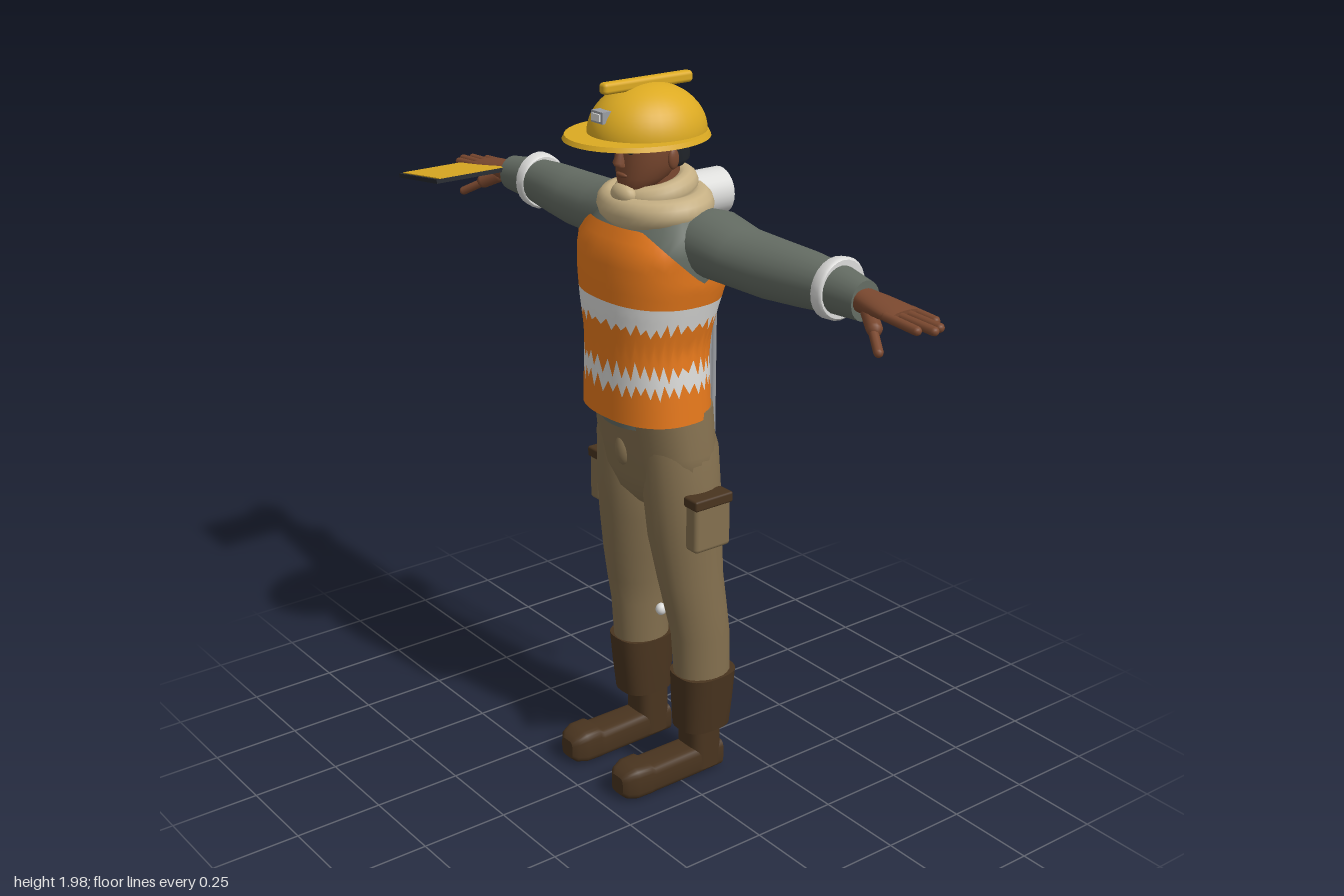
import * as THREE from 'three';
import { RoundedBoxGeometry } from 'three/addons/geometries/RoundedBoxGeometry.js';

const mat = (name, color, extra = {}) => new THREE.MeshStandardMaterial({ name, color, ...extra });
const M = {
  yellow: mat('yellow', 0xdcaa22),
  orange: mat('orange', 0xe97a1c, { side: THREE.DoubleSide }),
  white: mat('white', 0xdcdcda),
  shirt: mat('grey green', 0x646c63),
  khaki: mat('khaki', 0x84704f),
  brown: mat('dark brown', 0x49341f),
  skin: mat('skin', 0x7a482f),
  scarf: mat('sand', 0xc6b084),
  dark: mat('near black', 0x24282e),
  metal: mat('metal', 0x9b9ea3),
};

// Closed-around surface: fn(angle, row, column) gives [x, y, z], rows run upward.
function grid(seg, rows, fn) {
  const pos = [], idx = [];
  for (let j = 0; j < rows; j++)
    for (let i = 0; i < seg; i++) pos.push(...fn((i / seg) * Math.PI * 2, j, i));
  for (let j = 0; j < rows - 1; j++)
    for (let i = 0; i < seg; i++) {
      const a = j * seg + i, b = j * seg + ((i + 1) % seg), c = a + seg, d = b + seg;
      idx.push(a, c, b, b, c, d);
    }
  const g = new THREE.BufferGeometry();
  g.setAttribute('position', new THREE.Float32BufferAttribute(pos, 3));
  g.setIndex(idx);
  g.computeVertexNormals();
  return g;
}

const soft = (v, p) => Math.sign(v) * Math.pow(Math.abs(v), p);

// Capped loft along y; ring = [y, centreX, centreZ, radiusX, radiusZ]; p < 1 is boxier.
function loft(rings, p = 1, seg = 24) {
  const f = rings[0], l = rings[rings.length - 1];
  const flat = r => [r[0], r[1], r[2], 0, 0];
  const all = [flat(f), f, ...rings, l, flat(l)];
  return grid(seg, all.length, (t, j) => {
    const [y, cx, cz, rx, rz] = all[j];
    return [cx + rx * soft(Math.cos(t), p), y, cz + rz * soft(Math.sin(t), p)];
  });
}
// Loft along x; ring = [x, centreY, centreZ, radiusY, radiusZ]
const loftX = (rings, p, seg) =>
  loft(rings.map(([x, y, z, ry, rz]) => [x, -y, z, ry, rz]), p, seg).rotateZ(-Math.PI / 2);
// Loft along z; ring = [z, centreX, centreY, radiusX, radiusY]
const loftZ = (rings, p, seg) =>
  loft(rings.map(([z, x, y, rx, ry]) => [z, x, -y, rx, ry]), p, seg).rotateX(Math.PI / 2);

// Rounded bar between two points
function bar(a, b, r) {
  const A = new THREE.Vector3(...a), B = new THREE.Vector3(...b), d = B.clone().sub(A);
  const q = new THREE.Quaternion().setFromUnitVectors(new THREE.Vector3(0, 1, 0), d.clone().normalize());
  const c = A.add(B).multiplyScalar(0.5);
  return new THREE.CapsuleGeometry(r, d.length() - 2 * r, 4, 10).applyQuaternion(q).translate(c.x, c.y, c.z);
}
const ball = (x, y, z, rx, ry, rz) => new THREE.SphereGeometry(1, 18, 12).scale(rx, ry, rz).translate(x, y, z);

function mirrorX(geo) {
  const g = geo.clone().scale(-1, 1, 1);
  const n = g.index ? g.index.count : g.attributes.position.count;
  const src = g.index ? g.index.array : Array.from({ length: n }, (_, i) => i);
  const idx = [];
  for (let i = 0; i < n; i += 3) idx.push(src[i], src[i + 2], src[i + 1]);
  g.setIndex(idx);
  return g;
}

// Vest outline by height: [y, radiusX, centreZ, radiusZ]
const VEST = [
  [1.1, 0.19, 0.005, 0.145], [1.2, 0.185, 0.006, 0.143], [1.3, 0.177, 0.006, 0.144],
  [1.4, 0.2, -0.002, 0.158], [1.48, 0.218, -0.013, 0.17], [1.56, 0.222, -0.017, 0.168], [1.63, 0.175, -0.025, 0.145],
];
function vestPoint(t, y) {
  let k = 0;
  while (k < VEST.length - 2 && y > VEST[k + 1][0]) k++;
  const a = VEST[k], b = VEST[k + 1], f = (y - a[0]) / (b[0] - a[0]);
  const [, rx, cz, rz] = a.map((v, i) => v + (b[i] - v) * f);
  return [rx * soft(Math.cos(t), 0.85), y, cz + rz * soft(Math.sin(t), 0.85)];
}
// Ragged edge: alternating teeth of seeded height
const ragged = (y, amp, seed) => (t, i) => {
  const h = Math.sin(i * 12.9898 + seed * 78.233) * 43758.5453;
  return y + (i % 2 ? 1 : -1) * amp * (0.25 + 0.75 * (h - Math.floor(h)));
};

export function createModel() {
  const root = new THREE.Group();
  root.name = 'surveyWorker';
  const add = (name, geo, m) => {
    const mesh = new THREE.Mesh(geo, m);
    mesh.name = name;
    root.add(mesh);
    return mesh;
  };
  const pair = (name, geo, m) => {
    add('left' + name, geo, m);
    add('right' + name, mirrorX(geo), m);
  };

  // Boots
  pair('Foot', loftZ([[-0.142, 0.122, 0.045, 0.048, 0.043], [-0.05, 0.122, 0.045, 0.05, 0.044], [0.1, 0.122, 0.044, 0.052, 0.043],
    [0.115, 0.122, 0.049, 0.054, 0.049], [0.16, 0.122, 0.049, 0.052, 0.049], [0.188, 0.122, 0.047, 0.042, 0.04], [0.2, 0.122, 0.045, 0.026, 0.027]], 0.5), M.brown);
  pair('Ankle', loft([[0.02, 0.122, -0.09, 0.052, 0.051], [0.19, 0.122, -0.09, 0.052, 0.051]], 0.6), M.brown);
  pair('BootCuff', loft([[0.155, 0.135, -0.085, 0.066, 0.079], [0.24, 0.139, -0.084, 0.072, 0.085], [0.33, 0.143, -0.083, 0.077, 0.089]], 0.75), M.brown);

  // Trousers
  pair('TrouserLeg', loft([[0.3, 0.141, -0.083, 0.071, 0.083], [0.45, 0.14, -0.075, 0.074, 0.086], [0.53, 0.134, -0.063, 0.08, 0.09],
    [0.62, 0.126, -0.05, 0.086, 0.094], [0.75, 0.112, -0.04, 0.1, 0.103], [0.86, 0.107, -0.035, 0.103, 0.108],
    [1.0, 0.1, -0.03, 0.096, 0.11], [1.06, 0.095, -0.025, 0.085, 0.1]]), M.khaki);
  add('hips', loft([[0.82, 0, -0.035, 0.06, 0.06], [0.86, 0, -0.035, 0.14, 0.095], [0.92, 0, -0.032, 0.2, 0.112],
    [1.0, 0, -0.027, 0.197, 0.12], [1.12, 0, -0.015, 0.184, 0.131]], 0.85, 32), M.khaki);
  add('fly', ball(0, 0.99, 0.085, 0.025, 0.045, 0.02), M.khaki);
  pair('CargoPocket', new RoundedBoxGeometry(0.05, 0.15, 0.12, 2, 0.012).translate(0.218, 0.822, -0.035), M.khaki);
  pair('PocketFlap', new RoundedBoxGeometry(0.056, 0.03, 0.126, 2, 0.006).translate(0.219, 0.888, -0.035), M.brown);
  pair('KneeStud', ball(0.058, 0.43, -0.09, 0.016, 0.018, 0.016), M.white);

  // Shirt body and tail
  add('shirtBody', loft([...VEST.slice(0, 6).map(([y, rx, cz, rz]) => [y, 0, cz, rx * 0.93, rz * 0.93]),
    [1.61, 0, -0.03, 0.195, 0.125], [1.66, 0, -0.035, 0.16, 0.105], [1.69, 0, -0.035, 0.1, 0.08]], 0.85, 32), M.shirt);
  add('shirtTail', loft([[1.07, 0, 0.03, 0.12, 0.092], [1.12, 0, 0.03, 0.125, 0.1]]), M.shirt);

  // Safety vest: stacked bands sharing their ragged edges
  const top = t => 1.49 + 0.13 * Math.min(1, Math.abs(Math.sin(t)) * 1.2);
  const edges = [() => 1.1, ragged(1.195, 0.026, 1), ragged(1.25, 0.03, 2), ragged(1.365, 0.022, 3), () => 1.425, top];
  ['vestHem', 'lowerStripe', 'vestMiddle', 'upperStripe', 'vestChest'].forEach((name, k) => {
    const geo = grid(72, 7, (t, j, i) => {
      const lo = edges[k](t, i), hi = edges[k + 1](t, i);
      return vestPoint(t, lo + ((hi - lo) * j) / 6);
    });
    add(name, geo, k % 2 ? M.white : M.orange);
  });

  // Arms and reflective cuffs
  pair('Sleeve', loftX([[0.13, 1.58, -0.065, 0.08, 0.09], [0.2, 1.578, -0.07, 0.088, 0.1], [0.3, 1.566, -0.075, 0.077, 0.091],
    [0.42, 1.565, -0.076, 0.076, 0.084], [0.53, 1.568, -0.08, 0.071, 0.073], [0.65, 1.57, -0.083, 0.06, 0.058],
    [0.745, 1.57, -0.072, 0.05, 0.045]]), M.shirt);
  pair('Cuff', loftX([[0.612, 1.567, -0.09, 0.072, 0.07], [0.617, 1.567, -0.09, 0.078, 0.076],
    [0.642, 1.57, -0.09, 0.079, 0.076], [0.648, 1.57, -0.09, 0.073, 0.07]]), M.white);

  // Hands
  pair('Palm', loftX([[0.73, 1.572, -0.07, 0.03, 0.034], [0.79, 1.573, -0.068, 0.025, 0.044], [0.85, 1.573, -0.066, 0.019, 0.05],
    [0.885, 1.573, -0.066, 0.013, 0.047]], 0.9), M.skin);
  [[-0.106, 0.95, -0.108], [-0.08, 0.99, -0.082], [-0.053, 1.0, -0.055], [-0.027, 0.975, -0.025]].forEach(([z, x, z2], i) =>
    pair('Finger' + (i + 1), bar([0.85, 1.573, z], [x, 1.566, z2], 0.0115), M.skin));
  pair('ThumbBase', bar([0.77, 1.565, -0.055], [0.845, 1.527, -0.015], 0.02), M.skin);
  pair('Thumb', bar([0.82, 1.537, -0.025], [0.893, 1.495, 0.018], 0.012), M.skin);

  // Tablet in the right hand
  const tablet = new THREE.Group();
  tablet.name = 'tablet';
  const casing = new THREE.Mesh(new THREE.BoxGeometry(0.212, 0.012, 0.29), M.dark);
  casing.name = 'tabletCase';
  const screen = new THREE.Mesh(new THREE.BoxGeometry(0.202, 0.003, 0.276), M.yellow);
  screen.name = 'tabletScreen';
  screen.position.set(0.003, 0.007, -0.002);
  tablet.add(casing, screen);
  tablet.position.set(-0.842, 1.573, 0.045);
  tablet.rotation.z = 0.12;
  root.add(tablet);

  // Scarf
  const fold = (name, r, tube, sx, sz, y, z, tilt) =>
    add(name, new THREE.TorusGeometry(r, tube, 12, 36).rotateX(Math.PI / 2).scale(sx, 1.15, sz).rotateX(tilt).translate(0, y, z), M.scarf);
  fold('scarfLower', 0.115, 0.036, 1.15, 0.93, 1.655, -0.022, 0.08);
  fold('scarfUpper', 0.078, 0.03, 1.0, 1.05, 1.695, -0.025, 0.22);
  add('scarfKnot', ball(0, 1.69, 0.078, 0.045, 0.03, 0.026), M.scarf);

  // Head
  add('neck', loft([[1.62, 0, -0.035, 0.055, 0.055], [1.77, 0, -0.03, 0.055, 0.06]]), M.skin);
  add('head', loft([[1.695, 0, 0.045, 0.028, 0.03], [1.71, 0, 0.035, 0.045, 0.05], [1.735, 0, 0.015, 0.062, 0.073],
    [1.77, 0, 0, 0.075, 0.088], [1.81, 0, -0.004, 0.08, 0.093], [1.86, 0, -0.004, 0.08, 0.093]], 0.95), M.skin);
  add('nose', loft([[1.765, 0, 0.085, 0.017, 0.018], [1.775, 0, 0.088, 0.016, 0.022], [1.815, 0, 0.082, 0.008, 0.012]], 1, 12), M.skin);
  add('lips', ball(0, 1.742, 0.083, 0.023, 0.008, 0.01), M.skin);
  pair('Ear', ball(0.08, 1.783, -0.02, 0.009, 0.027, 0.017), M.skin);
  pair('Eye', ball(0.031, 1.804, 0.08, 0.011, 0.005, 0.006), M.dark);
  pair('Eyebrow', ball(0.032, 1.822, 0.081, 0.018, 0.004, 0.006), M.dark);
  add('hair', loft([[1.755, 0, -0.05, 0.06, 0.045], [1.775, 0, -0.055, 0.078, 0.052], [1.85, 0, -0.045, 0.085, 0.065]]), M.dark);

  // Hard hat
  add('hatDome', new THREE.SphereGeometry(1, 36, 14, 0, Math.PI * 2, 0, Math.PI / 2).scale(0.145, 0.127, 0.16).translate(0, 1.843, 0.003), M.yellow);
  add('hatBrim', new THREE.CylinderGeometry(0.97, 1, 0.012, 40).scale(0.176, 1, 0.197).translate(0, 1.841, 0.036), M.yellow);
  add('hatRidge', new RoundedBoxGeometry(0.03, 0.03, 0.28, 3, 0.01).translate(0, 1.968, 0.005), M.yellow);
  add('hatLampMount', new THREE.BoxGeometry(0.048, 0.03, 0.03).translate(0, 1.9, 0.145), M.metal);
  add('hatLamp', new THREE.BoxGeometry(0.034, 0.018, 0.006).translate(0, 1.9, 0.162), M.white);

  // Folded tripod carried on the back
  add('tripodHead', new THREE.CylinderGeometry(0.063, 0.063, 0.108, 28).rotateX(Math.PI / 2).translate(0, 1.652, -0.183), M.white);
  [[0, -0.222], [0.06, -0.157], [-0.06, -0.157]].forEach(([x, z], i) =>
    add('tripodLeg' + (i + 1), new THREE.CylinderGeometry(0.009, 0.009, 0.8, 12).translate(x, 1.22, z), M.metal));

  return root;
}
